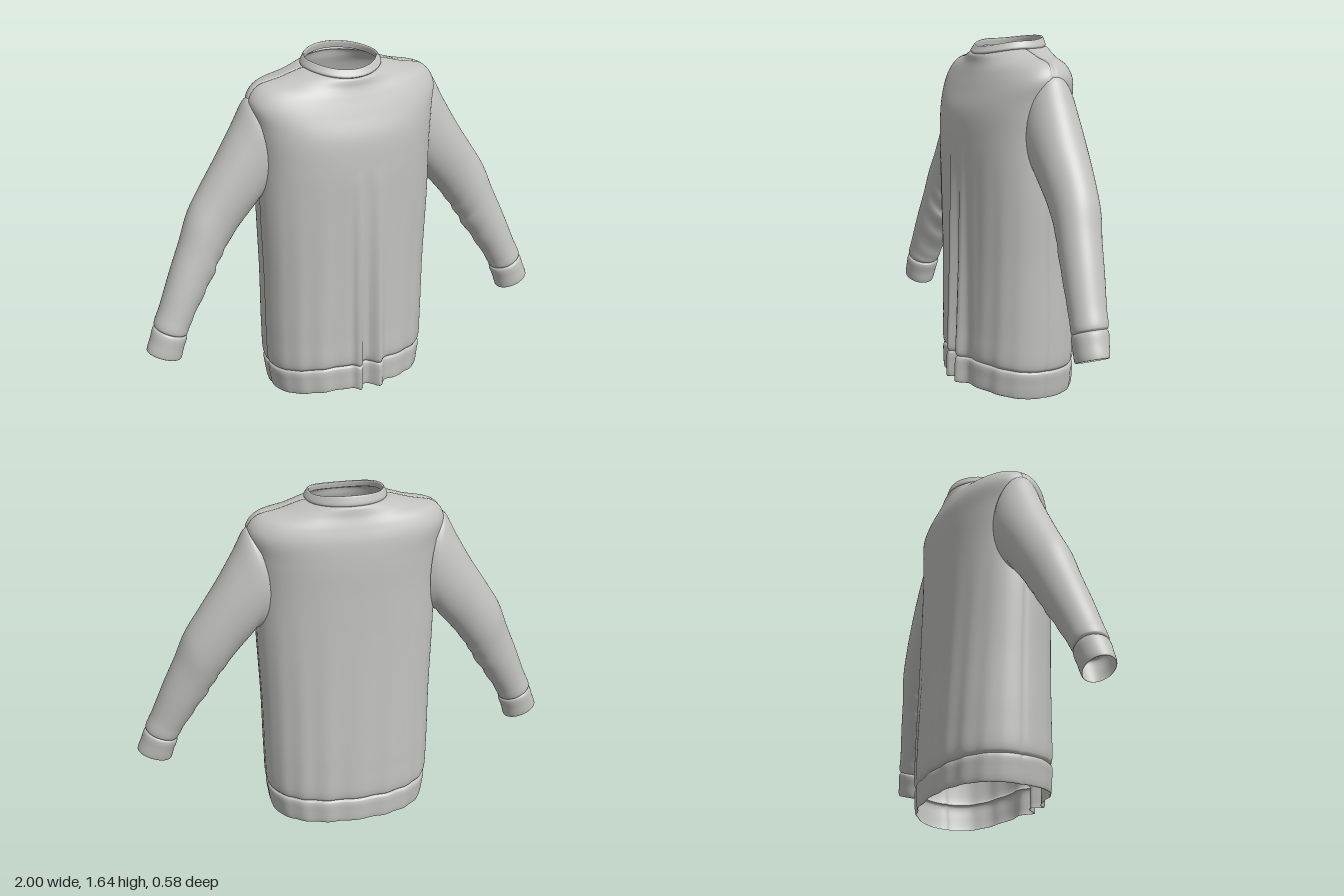
import * as THREE from 'three';

const fabric = new THREE.MeshStandardMaterial({ color: 0xc2c2be, side: THREE.DoubleSide });
fabric.name = 'greyFabric';

// Smooth tube surface: each column is a spline through the control rings
function loft(name, rings, point, columns, steps, shape = (p) => p) {
  const pos = [], index = [];
  for (let i = 0; i < columns; i++) {
    const a = (i / columns) * Math.PI * 2;
    const curve = new THREE.CatmullRomCurve3(rings.map((r) => point(r, a)));
    for (let j = 0; j <= steps; j++) {
      const p = shape(curve.getPoint(j / steps), a, j / steps);
      pos.push(p.x, p.y, p.z);
      const next = ((i + 1) % columns) * (steps + 1);
      if (j < steps) {
        const b = i * (steps + 1) + j, c = next + j;
        index.push(b, b + 1, c, c, b + 1, c + 1);
      }
    }
  }
  const geo = new THREE.BufferGeometry();
  geo.setAttribute('position', new THREE.Float32BufferAttribute(pos, 3));
  geo.setIndex(index);
  geo.computeVertexNormals();
  const mesh = new THREE.Mesh(geo, fabric);
  mesh.name = name;
  return mesh;
}

const power = (v, e) => Math.sign(v) * Math.pow(Math.abs(v), e);
const bump = (x, centre, width) => Math.exp(-(((x - centre) / width) ** 2));

// Torso ring: [halfWidth, zFront, zBack, ySide, yFront, yBack, squareness]
function torsoPoint([w, zf, zb, ys, yf, yb, sq = 2], a) {
  const c = Math.cos(a), s = Math.sin(a);
  const y = ys + ((s > 0 ? yf : yb) - ys) * s * s;
  return new THREE.Vector3(w * power(c, 2 / sq), y, (zf + zb) / 2 + ((zf - zb) / 2) * power(s, 2 / sq));
}

// Hanging pleats, soft folds and side seams
function drape(p, a) {
  const s = Math.sin(a);
  const fall = Math.pow(Math.max(0, 1 - p.y / 1.15), 0.7);
  if (s > 0) {
    p.z += fall * (0.042 * bump(p.x, -0.028, 0.018) + 0.042 * bump(p.x, 0.07, 0.026)
      - 0.012 * bump(p.x, 0.012, 0.015) + 0.008 * bump(p.x, 0.16, 0.03));
  }
  p.z += 0.004 * fall * s * Math.sin(a * 19 + 1.3 * p.y);
  const seam = bump(s, 0, 0.02);
  p.x -= Math.sign(p.x) * 0.006 * seam;
  if (p.y > 1.45) p.y -= 0.006 * seam;
  return p;
}

// Sleeve ring: [outerX, outerY, innerX, innerY, zFront, zBack, inset]
const sleevePoint = (side) => ([ox, oy, ix, iy, zf, zb, inset = 0], a) => {
  const c = Math.cos(a), s = Math.sin(a);
  const x = (ox + ix) / 2 + ((ox - ix) / 2) * c - inset * s * s;
  return new THREE.Vector3(side * x, (oy + iy) / 2 + ((oy - iy) / 2) * c, (zf + zb) / 2 + ((zf - zb) / 2) * s);
};

export function createModel() {
  const group = new THREE.Group();
  group.name = 'sweater';

  // Body from hem seam to neckline
  group.add(loft('body', [
    [0.383, 0.238, -0.268, 0.13, 0.162, 0.13, 2.3],
    [0.392, 0.247, -0.279, 0.145, 0.178, 0.145, 2.3],
    [0.4, 0.247, -0.28, 0.3, 0.32, 0.3, 2.3],
    [0.405, 0.245, -0.268, 0.6, 0.6, 0.6, 2.3],
    [0.418, 0.248, -0.256, 0.95, 0.95, 0.95, 2.3],
    [0.42, 0.25, -0.252, 1.2, 1.16, 1.18, 2.3],
    [0.435, 0.238, -0.251, 1.36, 1.3, 1.33, 2.25],
    [0.452, 0.203, -0.242, 1.465, 1.4, 1.44, 2.2],
    [0.41, 0.175, -0.225, 1.525, 1.47, 1.5, 2.1],
    [0.3, 0.157, -0.208, 1.553, 1.518, 1.548],
    [0.2, 0.15, -0.198, 1.582, 1.552, 1.588],
    [0.184, 0.142, -0.19, 1.584, 1.556, 1.592],
  ], torsoPoint, 220, 80, drape));

  // Ribbed bottom band
  group.add(loft('hemBand', [
    [0.383, 0.238, -0.268, 0.13, 0.162, 0.13, 2.3],
    [0.391, 0.248, -0.279, 0.12, 0.152, 0.12, 2.3],
    [0.386, 0.25, -0.281, 0.07, 0.1, 0.07, 2.3],
    [0.374, 0.248, -0.277, 0.005, 0.042, 0.014, 2.3],
    [0.37, 0.243, -0.272, 0.001, 0.038, 0.011, 2.3],
  ], torsoPoint, 220, 16, drape));

  // Collar band, folded over at the top
  group.add(loft('collar', [
    [0.184, 0.142, -0.19, 1.584, 1.556, 1.592],
    [0.187, 0.147, -0.193, 1.591, 1.563, 1.6],
    [0.179, 0.138, -0.188, 1.608, 1.578, 1.62],
    [0.17, 0.128, -0.18, 1.62, 1.592, 1.638],
    [0.164, 0.122, -0.174, 1.617, 1.59, 1.635],
    [0.166, 0.126, -0.178, 1.59, 1.563, 1.605],
  ], torsoPoint, 96, 20));

  // Sleeves and cuffs, mirrored
  for (const [side, label] of [[1, 'left'], [-1, 'right']]) {
    const crease = (p, a, t) => {
      const inner = Math.max(0, -Math.cos(a));
      const k = 0.009 * inner * bump(t, 0.58, 0.2) * Math.sin(t * 60 + 2 * Math.sin(a));
      p.x += side * k * 0.85;
      p.y -= k * 0.5;
      return p;
    };
    group.add(loft(label + 'Sleeve', [
      [0.44, 1.475, 0.41, 0.99, 0.083, -0.148, 0.055],
      [0.458, 1.468, 0.428, 0.985, 0.09, -0.155, 0.045],
      [0.52, 1.355, 0.455, 0.95, 0.089, -0.155, 0.02],
      [0.6, 1.215, 0.515, 0.88, 0.084, -0.145],
      [0.68, 1.09, 0.575, 0.8, 0.082, -0.135],
      [0.75, 0.975, 0.618, 0.735, 0.088, -0.122],
      [0.8, 0.85, 0.66, 0.66, 0.095, -0.1],
      [0.86, 0.71, 0.725, 0.56, 0.105, -0.077],
      [0.92, 0.56, 0.785, 0.46, 0.113, -0.052],
      [0.954, 0.48, 0.805, 0.42, 0.116, -0.042],
      [0.95, 0.468, 0.813, 0.413, 0.109, -0.034],
    ], sleevePoint(side), 56, 70, crease));

    group.add(loft(label + 'Cuff', [
      [0.95, 0.468, 0.813, 0.413, 0.109, -0.034],
      [0.96, 0.462, 0.808, 0.402, 0.118, -0.04],
      [0.978, 0.415, 0.826, 0.352, 0.12, -0.034],
      [0.998, 0.362, 0.842, 0.302, 0.118, -0.024],
      [0.996, 0.357, 0.847, 0.3, 0.114, -0.02],
    ], sleevePoint(side), 56, 16));
  }
  return group;
}
